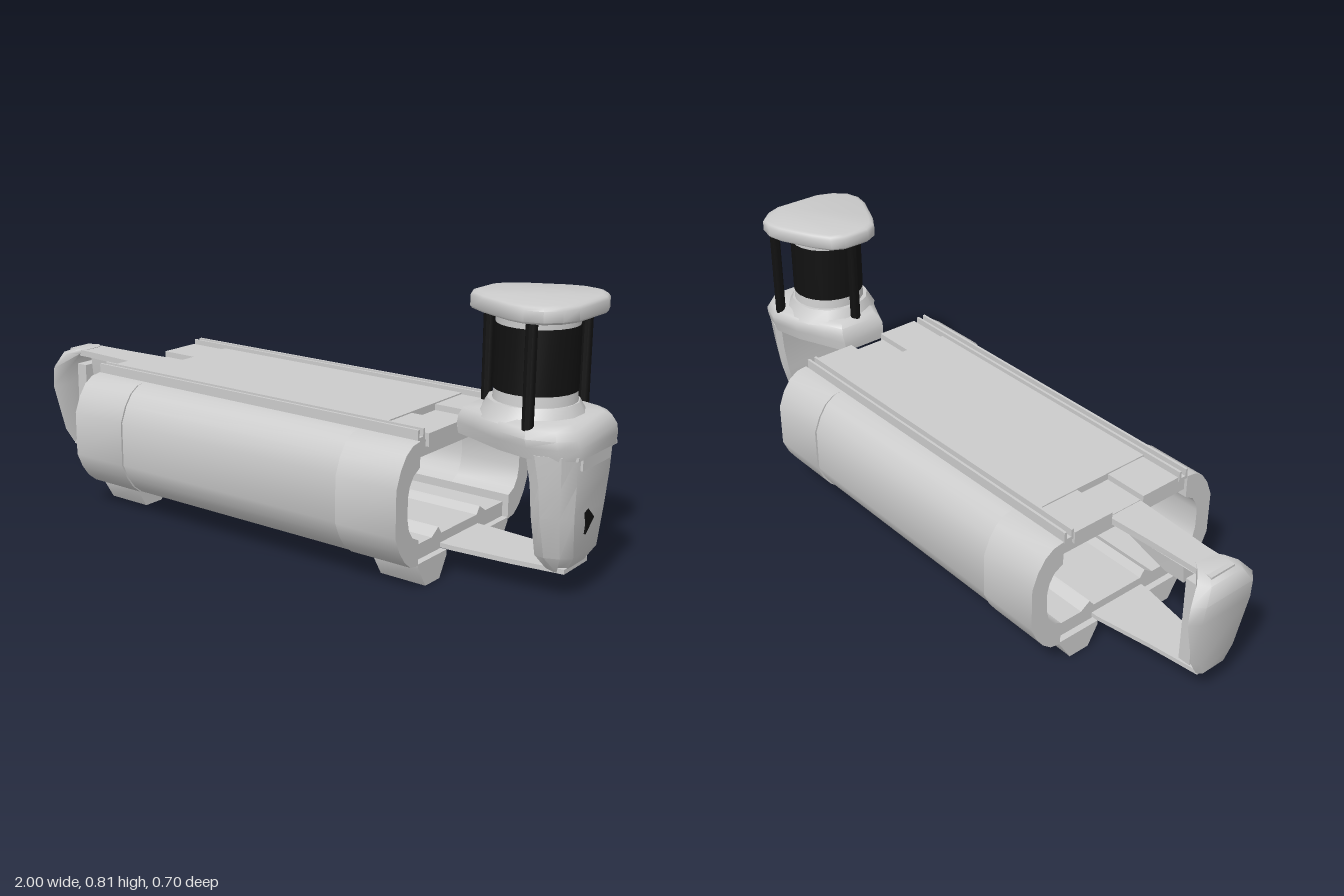
import * as THREE from 'three';
import { toCreasedNormals } from 'three/addons/utils/BufferGeometryUtils.js';

const grey = new THREE.MeshStandardMaterial({ color: 0xcccccc });
const black = new THREE.MeshStandardMaterial({ color: 0x111111 });

export function createModel() {
  const model = new THREE.Group();

  const add = (name, geometry, material = grey) => {
    const mesh = new THREE.Mesh(geometry, material);
    mesh.name = name;
    model.add(mesh);
    return mesh;
  };
  // Box given by its limits on each axis
  const box = (name, [x0, x1], [y0, y1], [z0, z1], material) =>
    add(name, new THREE.BoxGeometry(x1 - x0, y1 - y0, z1 - z0), material)
      .position.set((x0 + x1) / 2, (y0 + y1) / 2, (z0 + z1) / 2);
  const tube = (name, x, z, y0, y1, r0, r1, sides, material) =>
    add(name, toCreasedNormals(new THREE.CylinderGeometry(r1, r0, y1 - y0, sides), 0.7), material)
      .position.set(x, (y0 + y1) / 2, z);
  // Section of [z, y] points swept along x
  const sweepX = (name, section, x0, x1) => {
    const shape = new THREE.Shape(section.map(([z, y]) => new THREE.Vector2(-z, y)));
    const g = new THREE.ExtrudeGeometry(shape, { depth: x1 - x0, bevelEnabled: false });
    g.rotateY(Math.PI / 2).translate(x0, 0, 0);
    return add(name, toCreasedNormals(g, 0.75));
  };
  // Stacked rings, each { y, half: [[x, z], ...] } with half listed from +x to -x and mirrored in z
  const loft = (name, rows, crease = 0.7) => {
    const rings = rows.map(({ y, half }) => [
      ...half.map(([x, z]) => [x, y, -z]),
      ...half.map(([x, z]) => [x, y, z]).reverse(),
    ]);
    const n = rings[0].length, index = [];
    for (let r = 0; r < rings.length - 1; r++) {
      for (let j = 0; j < n; j++) {
        const a = r * n + j, b = r * n + (j + 1) % n;
        index.push(a, b, b + n, a, b + n, a + n);
      }
    }
    const top = (rings.length - 1) * n;
    for (let j = 1; j < n - 1; j++) {
      index.push(0, j + 1, j, top, top + j, top + j + 1);
    }
    const g = new THREE.BufferGeometry();
    g.setAttribute('position', new THREE.Float32BufferAttribute(rings.flat(2), 3));
    g.setIndex(index);
    return add(name, toCreasedNormals(g, crease));
  };

  // Hollow body: rounded side shells with thicker end caps
  const outer = [[0.24, 0.425], [0.275, 0.42], [0.305, 0.4], [0.33, 0.365], [0.35, 0.315],
    [0.35, 0.18], [0.33, 0.135], [0.305, 0.1], [0.275, 0.076], [0.24, 0.07]];
  const inner = [[0.24, 0.145], [0.27, 0.16], [0.287, 0.185], [0.295, 0.22],
    [0.295, 0.28], [0.287, 0.31], [0.27, 0.335], [0.24, 0.352]];
  for (const s of [1, -1]) {
    const side = (points, inset) => points.map(([z, y]) =>
      [s * (z - (z > 0.24 ? inset : 0)), y]);
    const cap = [...side(outer, 0), ...side(inner, 0)];
    sweepX('endCap', cap, -0.62, -0.42);
    sweepX('endCap', cap, 0.4, 0.6);
    sweepX('sidePanel', [...side(outer, 0.006), ...side(inner, -0.01)], -0.42, 0.4);
    // Gusset strip along the floor
    sweepX('floorGusset', [[s * 0.09, 0.115], [s * 0.15, 0.115], [s * 0.11, 0.142]], -0.6, 0.58);
    // Accessory rail with a U section
    sweepX('topRail', [[0.238, 0.42], [0.238, 0.453], [0.23, 0.453], [0.23, 0.43], [0.213, 0.43],
      [0.213, 0.453], [0.205, 0.453], [0.205, 0.42]].map(([z, y]) => [s * z, y]), -0.62, 0.59);
    // Tapered feet
    for (const [x0, x1] of [[-0.62, -0.47], [0.45, 0.6]]) {
      sweepX('foot', [[0.24, 0.075], [0.24, 0.065], [0.2, 0], [0.13, 0], [0.095, 0.06], [0.095, 0.075]]
        .map(([z, y]) => [s * z, y]), x0, x1);
    }
    // Blocks at the ends of the top plate
    for (const [x0, x1] of [[-0.62, -0.48], [0.45, 0.6]]) {
      box('endBlock', [x0, x1], [0.4, 0.438], s > 0 ? [0.06, 0.2] : [-0.2, -0.06]);
    }
  }
  box('roof', [-0.61, 0.59], [0.375, 0.42], [-0.24, 0.24]);
  box('floor', [-0.6, 0.58], [0.075, 0.12], [-0.24, 0.24]);
  box('topPlate', [-0.48, 0.45], [0.415, 0.442], [-0.203, 0.203]);
  box('bottomPlate', [-0.47, 0.45], [0.05, 0.076], [-0.2, 0.2]);

  // Straps that tie the head and tail to the floor
  loft('headStrap', [0.078, 0.092].map((y) =>
    ({ y, half: [[0.95, 0.065], [0.8, 0.085], [0.62, 0.1], [0.5, 0.1]] })));
  loft('tailStrap', [0.08, 0.094].map((y) =>
    ({ y, half: [[-0.5, 0.1], [-0.62, 0.1], [-0.8, 0.07], [-0.96, 0.05]] })));

  // Tail arm and bracket
  loft('tailArm', [0.398, 0.418].map((y) =>
    ({ y, half: [[-0.5, 0.06], [-0.62, 0.06], [-0.87, 0.045], [-0.97, 0.045]] })));
  loft('tailArmWedge', [
    { y: 0.335, half: [[-0.8, 0.035], [-0.87, 0.035]] },
    { y: 0.4, half: [[-0.65, 0.05], [-0.87, 0.042]] },
  ]);
  box('tailBracket', [-0.93, -0.89], [0.09, 0.37], [-0.05, 0.05]);
  box('tailBracketLink', [-0.96, -0.92], [0.13, 0.34], [-0.03, 0.03]);
  // Rows: height, inner x, outer x, half width
  loft('tailShell', [
    [0.088, -0.945, -0.972, 0.055], [0.14, -0.95, -0.98, 0.085], [0.3, -0.95, -0.995, 0.125],
    [0.36, -0.945, -1, 0.12], [0.405, -0.92, -0.985, 0.08], [0.42, -0.9, -0.95, 0.05],
  ].map(([y, xi, xo, w]) => ({ y, half: [[xi, w * 0.6], [(xi + xo) / 2, w], [xo, w * 0.75]] })), 0.9);

  // Head: tapering face below a broad deck
  loft('face', [
    [0.08, 0.945, 0.9, 0.07], [0.13, 0.975, 0.88, 0.11], [0.25, 0.982, 0.88, 0.142],
    [0.34, 0.988, 0.88, 0.155], [0.425, 0.99, 0.87, 0.166],
  ].map(([y, xf, xb, w]) => ({
    y, half: [[xf, w * 0.6], [xf - 0.025, w * 0.85], [xb + 0.03, w], [xb, w * 0.95]],
  })), 0.6);
  const deck = [[1, 0.11], [0.96, 0.155], [0.88, 0.18], [0.78, 0.155], [0.68, 0.11], [0.61, 0.08]];
  loft('headDeck', [[0.413, 0.99, 0.92], [0.445, 1, 0.97], [0.468, 0.97, 1], [0.49, 0.91, 0.93], [0.502, 0.82, 0.8]]
    .map(([y, sx, sz]) => ({ y, half: deck.map(([x, z]) => [0.8 + (x - 0.8) * sx, z * sz]) })), 0.9);
  // Front visor and lower sensor window
  box('visor', [0.95, 0.996], [0.38, 0.412], [-0.08, 0.08]);
  box('visorBrow', [0.95, 0.998], [0.412, 0.422], [-0.11, 0.11]);
  const win = sweepX('sensorWindow', [[0.03, 0.25], [0.01, 0.257], [-0.025, 0.225], [0.02, 0.187], [0.018, 0.215]], 0.96, 0.984);
  win.material = black;

  // Scanner standing on the deck
  tube('scannerFoot', 0.8, 0, 0.485, 0.53, 0.15, 0.125, 14);
  tube('scannerBase', 0.805, 0, 0.53, 0.575, 0.115, 0.11, 24);
  tube('scannerWindow', 0.805, 0, 0.56, 0.738, 0.115, 0.115, 24, black);
  tube('scannerTop', 0.805, 0, 0.738, 0.765, 0.113, 0.113, 24);

  // Three posts carrying the guard cover
  for (const [x, z] of [[0.87, 0.153], [0.87, -0.153], [0.655, 0]]) {
    tube('post', x, z, 0.47, 0.775, 0.016, 0.016, 10, black);
  }
  const cover = [[0.965, 0.08], [0.945, 0.13], [0.91, 0.168], [0.86, 0.18], [0.81, 0.17], [0.7, 0.12], [0.645, 0.085], [0.625, 0.045]];
  loft('guardCover', [[0.768, 0.97], [0.774, 1], [0.803, 1], [0.811, 0.97], [0.815, 0.9]]
    .map(([y, s]) => ({ y, half: cover.map(([x, z]) => [0.8 + (x - 0.8) * s, z * s]) })), 0.8);

  return model;
}
